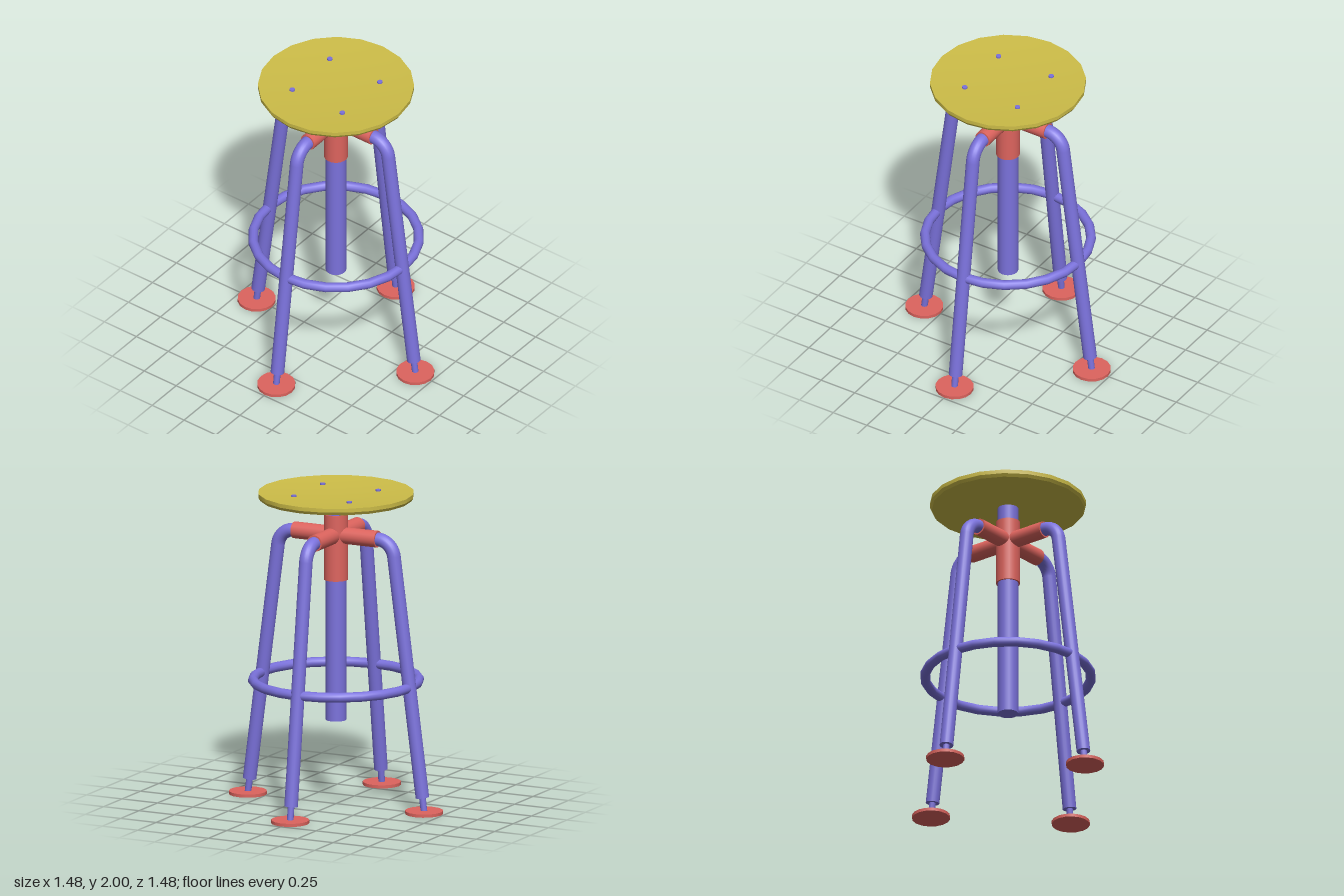
import * as THREE from 'three';
import { toCreasedNormals } from 'three/addons/utils/BufferGeometryUtils.js';

const blue = new THREE.MeshStandardMaterial({ color: 0x7b72dc });
const red = new THREE.MeshStandardMaterial({ color: 0xdd645e });
const yellow = new THREE.MeshStandardMaterial({ color: 0xcdbd48 });

function add(parent, name, geometry, material) {
  const mesh = new THREE.Mesh(geometry, material);
  mesh.name = name;
  parent.add(mesh);
  return mesh;
}

// Capped cylinder running between two points
function rod(parent, name, material, radius, a, b, sides = 20) {
  const from = new THREE.Vector3(...a), to = new THREE.Vector3(...b);
  const dir = to.clone().sub(from);
  const mesh = add(parent, name, new THREE.CylinderGeometry(radius, radius, dir.length(), sides), material);
  mesh.position.copy(from).add(to).multiplyScalar(0.5);
  mesh.quaternion.setFromUnitVectors(new THREE.Vector3(0, 1, 0), dir.normalize());
  return mesh;
}

// One leg pointing towards +x, with its socket, bend, spindle and foot
function createLeg() {
  const leg = new THREE.Group();
  const tube = 0.043, bendR = 0.115, armY = 1.727, armEnd = 0.295;
  const tilt = Math.atan2(0.2, 1.52);
  const bendY = armY - bendR;

  rod(leg, 'legSocket', red, 0.053, [0, armY, 0], [armEnd, armY, 0]);

  const bend = add(leg, 'legBend',
    new THREE.TorusGeometry(bendR, tube, 20, 10, Math.PI / 2 - tilt), blue);
  bend.rotation.z = tilt;
  bend.position.set(armEnd, bendY, 0);

  const top = [armEnd + bendR * Math.cos(tilt), bendY + bendR * Math.sin(tilt), 0];
  const along = (y) => [top[0] + (top[1] - y) * Math.tan(tilt), y, 0];
  rod(leg, 'legTube', blue, tube, along(0.102), top);
  rod(leg, 'footSpindle', blue, 0.021, along(0.015), along(0.14), 12);

  const footX = along(0.01)[0];
  rod(leg, 'footDisc', red, 0.12, [footX, 0, 0], [footX, 0.02, 0], 16);
  return leg;
}

export function createModel() {
  const model = new THREE.Group();
  model.name = 'stool';

  // Dished round seat with a chamfered lower rim
  const rim = 0.49, dish = 0.018;
  const profile = [[0, 1.956], [0.478, 1.956], [rim, 1.975], [rim, 2]];
  for (let i = 5; i >= 0; i--) {
    const t = i / 6;
    profile.push([rim * t, 2 - dish * (1 - t * t)]);
  }
  const seat = new THREE.LatheGeometry(profile.map((p) => new THREE.Vector2(...p)), 20);
  add(model, 'seat', toCreasedNormals(seat, 0.35), yellow);

  // Four screw heads on the seat
  for (const x of [-0.196, 0.196]) {
    for (const z of [-0.196, 0.196]) {
      rod(model, 'seatScrew', blue, 0.017, [x, 1.96, z], [x, 1.998, z], 12);
    }
  }

  // Central column and its sleeve
  rod(model, 'column', blue, 0.065, [0, 0.54, 0], [0, 1.965, 0], 24);
  rod(model, 'columnSleeve', red, 0.076, [0, 1.44, 0], [0, 1.86, 0], 24);

  // Four legs around the column
  for (let i = 0; i < 4; i++) {
    const leg = createLeg();
    leg.name = 'leg' + (i + 1);
    leg.rotation.y = i * Math.PI / 2;
    model.add(leg);
  }

  // Footrest ring
  const ring = add(model, 'footrestRing', new THREE.TorusGeometry(0.521, 0.031, 14, 24), blue);
  ring.rotation.x = Math.PI / 2;
  ring.position.y = 0.796;

  return model;
}
